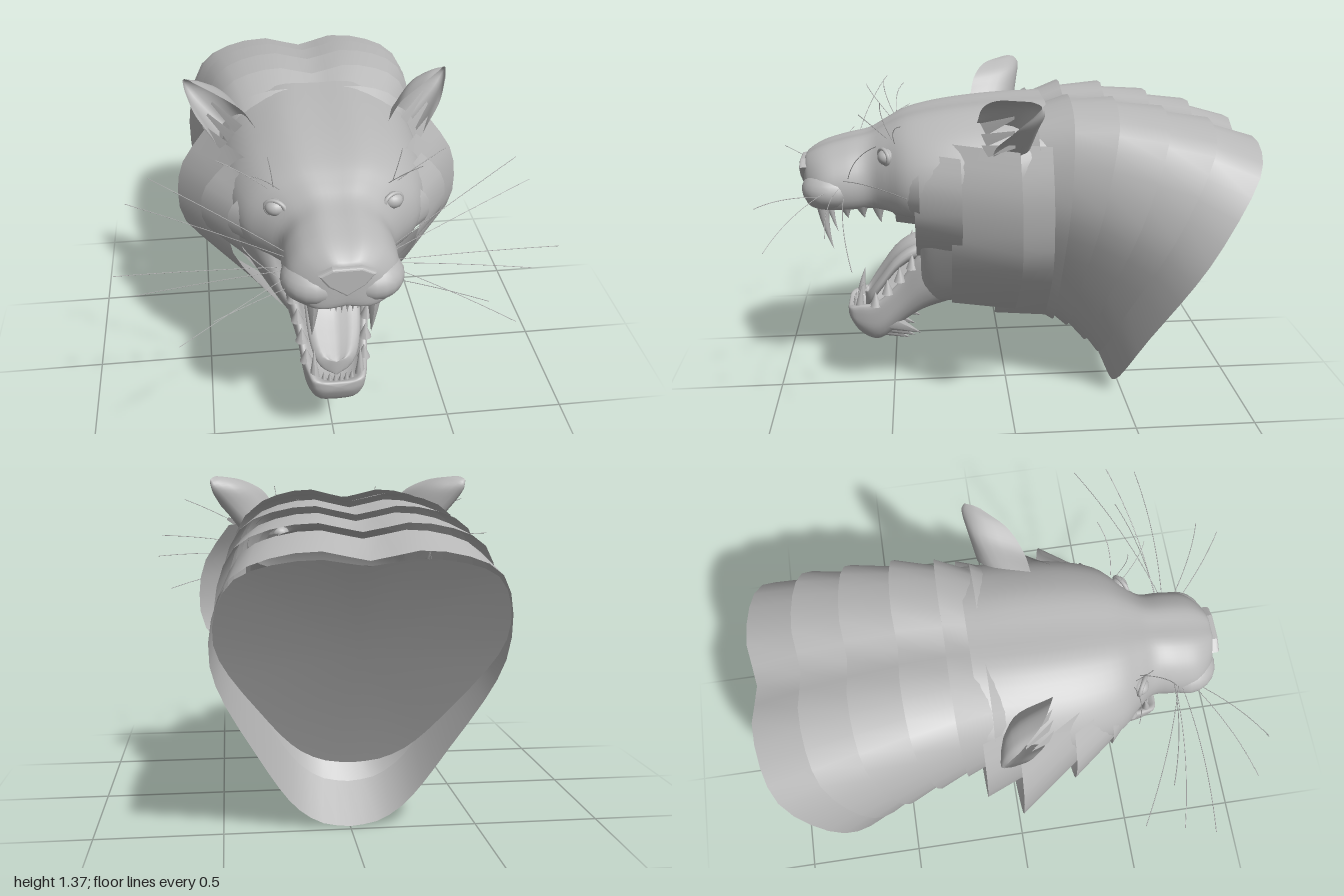
import * as THREE from 'three';
import { mergeVertices } from 'three/addons/utils/BufferGeometryUtils.js';

const fur = new THREE.MeshStandardMaterial({ color: 0xb8b8b8, side: THREE.DoubleSide });
const V = (x, y, z) => new THREE.Vector3(x, y, z);
const lerp = THREE.MathUtils.lerp;

// Samples a smooth curve through points
const spline = (pts, n) => new THREE.CatmullRomCurve3(pts, false, 'catmullrom', 0.5).getPoints(n);

// Skin over rows of points, smoothed around (nu) and along (nv; 0 keeps rows straight)
function skin(rows, nu, nv) {
  let grid = rows.map(r => spline(r, nu));
  if (nv) {
    const cols = grid[0].map((_, j) => spline(grid.map(r => r[j]), nv));
    grid = cols[0].map((_, i) => cols.map(c => c[i]));
  }
  const w = grid[0].length, idx = [];
  for (let i = 0; i < grid.length - 1; i++) for (let j = 0; j < w - 1; j++) {
    const a = i * w + j, c = a + w;
    idx.push(a, a + 1, c + 1, a, c + 1, c);
  }
  let g = new THREE.BufferGeometry().setFromPoints(grid.flat());
  g.setIndex(idx);
  g = mergeVertices(g, 1e-5);
  g.computeVertexNormals();
  return g;
}

// Closed section from a half outline running from bottom centre to top centre
const mirrored = half => [...half, ...half.slice(0, -1).reverse().map(p => V(-p.x, p.y, p.z))];

// Unit half outlines (across, up), scaled into each cross-section
const headOutline = [[0, 0.05], [0.57, 0], [0.88, 0.06], [1, 0.28], [0.96, 0.54], [0.8, 0.76], [0.6, 0.9], [0.33, 1], [0, 0.995]];
const cheekOutline = [[0, 0], [0.33, 0.015], [0.52, 0.1], [0.7, 0.25], [0.89, 0.46], [1, 0.67], [0.97, 0.86], [0.63, 0.96], [0, 1]];
const tongueOutline = [[0, 0], [0.8, 0.2], [1, 0.67], [0.7, 1], [0, 0.67]];
const neckOutline = [[0, 0], [0.2, 0.015], [0.38, 0.07], [0.53, 0.16], [0.7, 0.3], [0.9, 0.48], [1, 0.63], [0.98, 0.79], [0.86, 0.92], [0.62, 0.98], [0.3, 1], [0, 0.97]];
const jawOuter = [[0, 0], [0.58, 0.05], [0.88, 0.33], [0.98, 0.65], [1, 0.95], [0.85, 1]];
const jawInner = [[0.63, 0.45], [0.35, 0.08], [0, 0]];

const slice = (outline, z, low, high, w) => mirrored(outline.map(([u, v]) => V(u * w, lerp(low, high, v), z)));
const jawSlice = ([z, low, rim, w, floor]) => mirrored([
  ...jawOuter.map(([u, v]) => V(u * w, lerp(low, rim, v), z)),
  ...jawInner.map(([u, v]) => V(u * w, lerp(floor, rim, v), z))]);

export function createModel() {
  const model = new THREE.Group();
  const add = (name, geo, pos = [0, 0, 0], parent = model) => {
    const m = new THREE.Mesh(geo, fur);
    m.name = name;
    m.position.set(...pos);
    parent.add(m);
    return m;
  };
  const blob = (name, pos, r) => {
    const m = add(name, new THREE.SphereGeometry(1, 20, 14), pos);
    m.scale.set(...r);
    return m;
  };

  // Crown, face and upper muzzle: z, low y, high y, half width
  add('upperHead', skin([
    [-0.15, 1, 1.29, 0.38], [0.05, 0.86, 1.28, 0.41], [0.25, 0.86, 1.26, 0.39], [0.4, 0.86, 1.23, 0.345], [0.49, 0.87, 1.19, 0.265],
    [0.56, 0.87, 1.155, 0.21], [0.65, 0.865, 1.135, 0.21], [0.74, 0.865, 1.11, 0.2], [0.8, 0.87, 1.08, 0.15], [0.825, 0.89, 1.05, 0.09], [0.83, 0.97, 0.97, 0],
  ].map(r => slice(headOutline, ...r)), 48, 40));

  // Cheeks and throat, folding inward to line the mouth
  add('cheeksAndMouth', skin([
    [-0.2, 0.38, 1.18, 0.37], [0, 0.42, 1.15, 0.41], [0.15, 0.44, 1.13, 0.4], [0.28, 0.42, 1.08, 0.33],
    [0.36, 0.42, 0.94, 0.24], [0.33, 0.46, 0.9, 0.19], [0.15, 0.52, 0.84, 0.12], [0.08, 0.7, 0.7, 0],
  ].map(r => slice(cheekOutline, ...r)), 48, 28));

  // Lower jaw with a raised rim and hollow floor: z, low y, rim y, half width, floor y
  add('lowerJaw', skin([
    [0.25, 0.42, 0.7, 0.19, 0.5], [0.36, 0.38, 0.67, 0.175, 0.46], [0.45, 0.32, 0.54, 0.145, 0.41], [0.55, 0.24, 0.44, 0.13, 0.38],
    [0.63, 0.27, 0.42, 0.115, 0.38], [0.675, 0.34, 0.405, 0.09, 0.4], [0.685, 0.38, 0.38, 0, 0.38],
  ].map(jawSlice), 48, 24));

  // Tongue curling down over the jaw floor: z, edge y, half width
  add('tongue', skin([[0.2, 0.65, 0.08], [0.36, 0.66, 0.105], [0.46, 0.61, 0.11], [0.54, 0.51, 0.1], [0.59, 0.44, 0.07], [0.61, 0.42, 0]]
    .map(([z, y, w]) => slice(tongueOutline, z, y - 0.05, y + 0.025, w)), 24, 16));

  // Nose pad
  const noseShape = new THREE.Shape([[-0.09, 1.03], [-0.06, 0.99], [0, 0.95], [0.06, 0.99], [0.09, 1.03], [0.05, 1.05], [-0.05, 1.05]]
    .map(p => new THREE.Vector2(...p)));
  add('nose', new THREE.ExtrudeGeometry(noseShape, { depth: 0.03, bevelThickness: 0.012, bevelSize: 0.008, bevelSegments: 3 }), [0, 0, 0.8]);

  // Teeth: tapered and bent; dir is 1 for up and -1 for down
  const tooth = (name, x, y, z, r, len, bend, dir) => {
    const g = new THREE.CylinderGeometry(0, r, len, 10, 6).translate(0, len / 2, 0);
    const p = g.attributes.position;
    for (let i = 0; i < p.count; i++) p.setZ(i, p.getZ(i) + bend * (p.getY(i) / len) ** 2);
    g.computeVertexNormals();
    add(name, g, [x, y, z]).rotation.z = dir < 0 ? Math.PI : 0;
  };
  for (let i = -2.5; i < 3; i++) {
    tooth('upperIncisor', i * 0.02, 0.895, 0.785 - i * i * 0.002, 0.012, 0.065, 0, -1);
    tooth('lowerIncisor', i * 0.022, 0.38, 0.655 - i * i * 0.002, 0.013, 0.05, 0, 1);
  }

  const whiskers = new THREE.Group();
  whiskers.name = 'whiskers';
  model.add(whiskers);
  for (const s of [1, -1]) {
    const P = (x, y, z) => V(s * x, y, z);

    // Whisker pads, canines and molars
    blob('whiskerPad', [s * 0.105, 0.945, 0.715], [0.118, 0.085, 0.12]);
    tooth('upperCanine', s * 0.11, 0.89, 0.755, 0.028, 0.21, -0.035, -1);
    tooth('lowerCanine', s * 0.09, 0.39, 0.63, 0.022, 0.13, -0.02, 1);
    for (let i = 0; i < 4; i++) {
      tooth('upperMolar', s * (0.15 + i * 0.005), 0.885, 0.66 - i * 0.066, 0.028, i === 2 ? 0.075 : 0.055, -0.01, -1);
      tooth('lowerMolar', s * (0.115 + i * 0.012), 0.42 + i * 0.06, 0.56 - i * 0.053, 0.026, 0.065, 0, 1);
    }

    // Eyes with lids
    blob('eye', [s * 0.215, 1.1, 0.485], [0.04, 0.032, 0.035]);
    const lid = add('eyelid', new THREE.TorusGeometry(0.04, 0.009, 8, 24), [s * 0.217, 1.1, 0.495]);
    lid.scale.y = 0.8;
    lid.rotation.y = s * 0.5;

    // Cupped ear with inner tufts
    add('ear', skin([
      [P(0.26, 1.24, 0.13), P(0.31, 1.23, -0.02), P(0.39, 1.16, -0.06), P(0.4, 1.12, 0.08)],
      [P(0.31, 1.31, 0.11), P(0.39, 1.32, -0.06), P(0.48, 1.26, -0.08), P(0.43, 1.18, 0.07)],
      [P(0.4, 1.355, 0.06), P(0.46, 1.36, -0.06), P(0.52, 1.32, -0.1), P(0.49, 1.25, 0.01)],
      [P(0.49, 1.37, -0.03), P(0.51, 1.37, -0.06), P(0.53, 1.355, -0.09), P(0.525, 1.32, -0.06)],
    ], 14, 14));
    for (let k = 0; k < 3; k++) add('earTuft', skin([
      [P(0.31 + k * 0.03, 1.25 - k * 0.035, 0.12), P(0.34 + k * 0.03, 1.21 - k * 0.035, 0.1)],
      [P(0.42 + k * 0.02, 1.3 - k * 0.05, 0), P(0.425 + k * 0.02, 1.29 - k * 0.05, 0)],
    ], 2, 0));

    // Overlapping cheek ruffs: front z, rear z, front width, rear width, low y, high y
    const bulge = [0.45, 0.74, 0.96, 1, 0.95, 0.78];
    for (const [zf, zr, wf, wr, lo, hi] of [
      [0.46, 0.36, 0.28, 0.39, 0.8, 1.1], [0.38, 0.2, 0.35, 0.49, 0.66, 1.13],
      [0.24, -0.02, 0.39, 0.585, 0.45, 1.17], [0.06, -0.15, 0.4, 0.49, 0.4, 1.17]])
      add('cheekRuff', skin([[zf, wf], [zr, wr]].map(([z, w]) =>
        bulge.map((b, i) => P(w * b, lerp(lo, hi, i / 5), z))), 10, 0));

    // Chin tufts sweeping back
    for (let k = 0; k < 3; k++) {
      const t = add('chinTuft', new THREE.ConeGeometry(0.05, 0.17, 6), [s * (0.03 + k * 0.03), 0.26 + k * 0.025, 0.5 - k * 0.025]);
      t.rotation.x = -2;
      t.scale.x = 0.6;
    }

    // Whiskers and brow hairs: root, then tip
    for (const [x, y, z, a, b, c] of [
      [0.2, 1, 0.66, 0.76, 1.1, 0.4], [0.21, 0.97, 0.68, 0.8, 0.98, 0.68], [0.21, 0.94, 0.66, 0.74, 0.83, 0.6],
      [0.19, 0.96, 0.72, 0.58, 0.85, 0.93], [0.18, 0.93, 0.74, 0.46, 0.98, 0.97], [0.2, 1.01, 0.64, 0.66, 1.26, 0.5],
      [0.2, 1.17, 0.48, 0.3, 1.29, 0.58], [0.22, 1.17, 0.46, 0.24, 1.32, 0.5], [0.24, 1.16, 0.45, 0.42, 1.27, 0.42]]) {
      const mid = P((x + a) / 2, (y + b) / 2 + 0.03, (z + c) / 2 + 0.03);
      add('whisker', new THREE.TubeGeometry(new THREE.QuadraticBezierCurve3(P(x, y, z), mid, P(a, b, c)), 12, 0.0015, 4), [0, 0, 0], whiskers);
    }
  }

  // Neck: heart-topped rings, each shell overhanging the next
  const ring = ([zt, yt, zb, yb, w], k, power) => mirrored(neckOutline.map(([u, v]) => {
    const mid = (yt + yb) / 2;
    return V(u * w * k, mid + (lerp(yb, yt, v) - mid) * k, lerp(zb, zt, v ** power));
  }));
  // Top z, top y, bottom z, bottom y, half width
  const neck = [
    [0.15, 1.2, 0.15, 0.43, 0.34], [0.02, 1.24, 0.02, 0.37, 0.37], [-0.1, 1.29, -0.12, 0.33, 0.4], [-0.24, 1.32, -0.2, 0.3, 0.43],
    [-0.42, 1.31, -0.26, 0.27, 0.46], [-0.62, 1.27, -0.34, 0.2, 0.49], [-0.81, 1.22, -0.4, 0.14, 0.515], [-1, 1.14, -0.47, 0, 0.535]];
  for (let i = 0; i < neck.length - 1; i++)
    add('neckShell', skin([ring(neck[i + 1], 1, 1.4), ring(neck[i], 0.955, 1.4)], 44, 0));

  // Recessed back plate fanning from its centre
  add('backPlate', skin([ring([-0.73, 0.74, -0.73, 0.74, 0], 1, 1), ring([-0.97, 1.11, -0.52, 0.28, 0.52], 1, 1.05)], 44, 0));

  return model;
}
